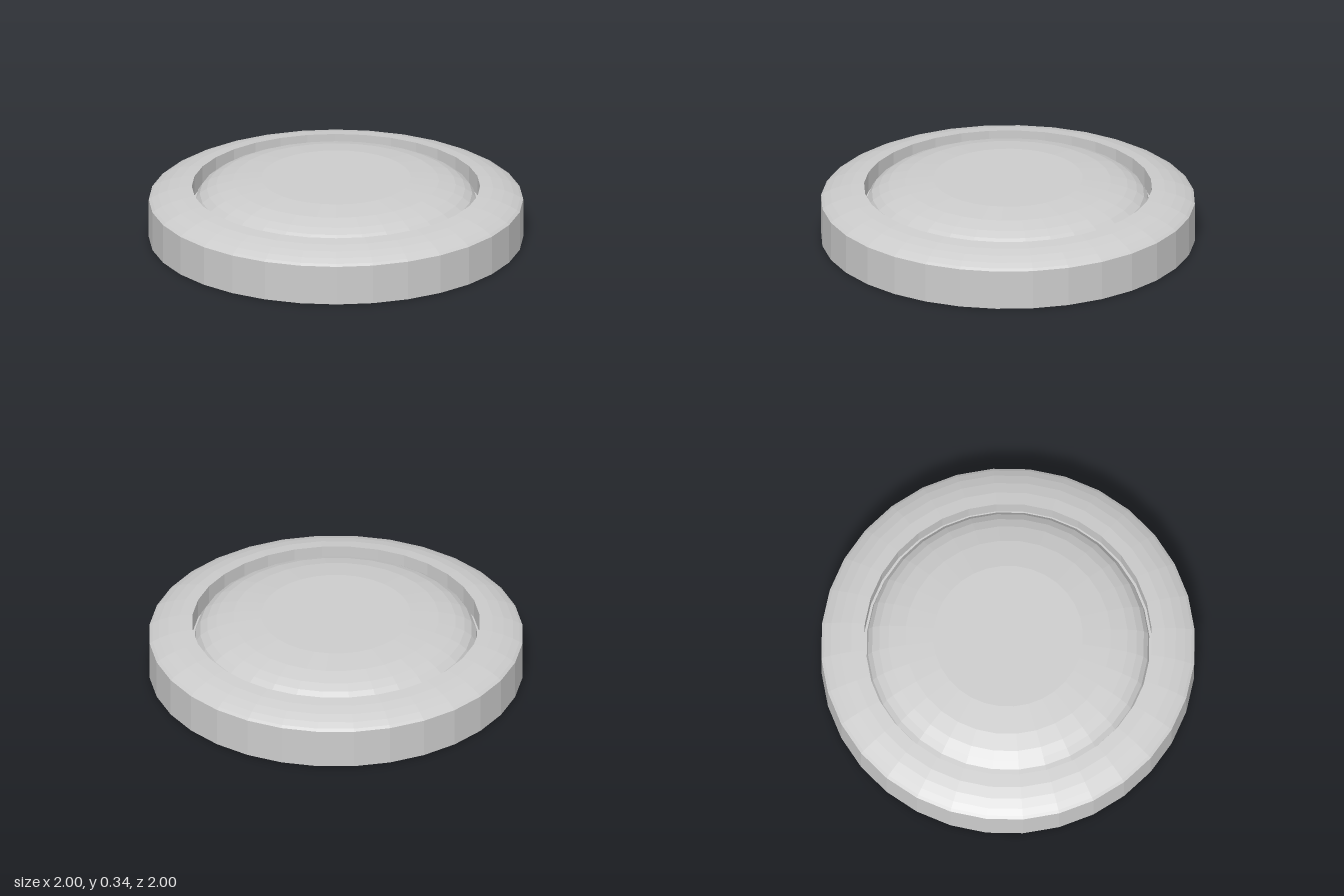
import * as THREE from 'three';

const SIDES = 32;

// Faceted solid of revolution from [radius, height] pairs, listed from bottom to top
function turned(name, profile, material) {
  const points = profile.map(([r, y]) => new THREE.Vector2(r, y));
  const mesh = new THREE.Mesh(new THREE.LatheGeometry(points, SIDES), material);
  mesh.name = name;
  return mesh;
}

export function createModel() {
  const group = new THREE.Group();
  group.name = 'roundButton';
  const grey = new THREE.MeshStandardMaterial({ color: 0xcccccc, flatShading: true });
  grey.name = 'light grey';

  // Housing: flat underside, straight wall, rounded shoulder, recess and its floor
  group.add(turned('housing', [
    [0, 0], [1, 0], [1, 0.215],
    [0.985, 0.226], [0.95, 0.245], [0.9, 0.265], [0.84, 0.281], [0.77, 0.29],
    [0.77, 0.18], [0.75, 0.18],
  ], grey));

  // Domed cap sitting in the recess with a narrow gap around it
  group.add(turned('domedCap', [
    [0.757, 0.18], [0.75, 0.216], [0.728, 0.25], [0.69, 0.277],
    [0.64, 0.299], [0.55, 0.322], [0.4, 0.34], [0, 0.34],
  ], grey));

  return group;
}
